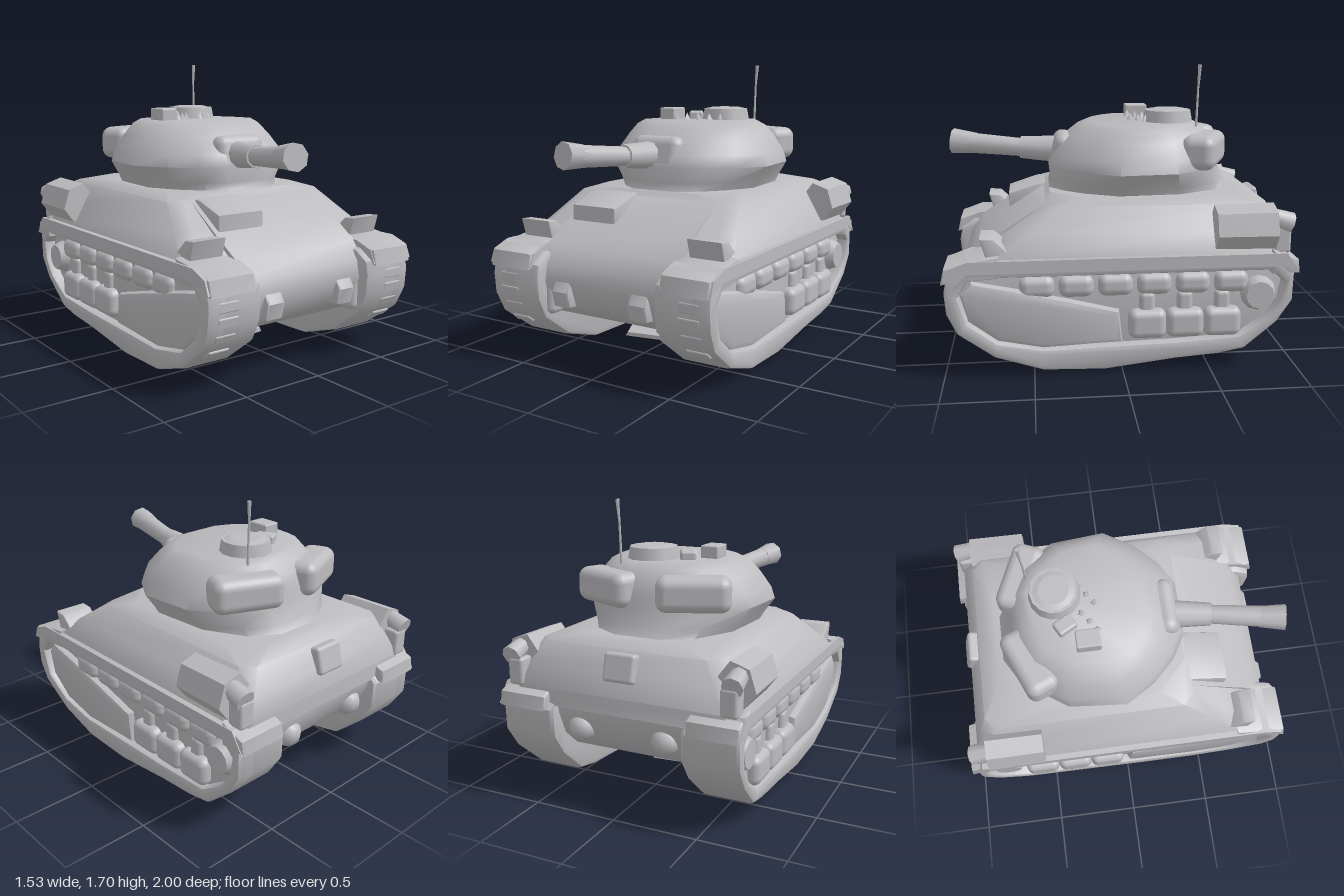
import * as THREE from 'three';
import { toCreasedNormals } from 'three/addons/utils/BufferGeometryUtils.js';
import { RoundedBoxGeometry } from 'three/addons/geometries/RoundedBoxGeometry.js';
import { ConvexGeometry } from 'three/addons/geometries/ConvexGeometry.js';

const V = (x, y, z) => new THREE.Vector3(x, y, z);

// Closed skin over rings of [x, y, z], listed from bottom to top
function loft(rings) {
  const n = rings[0].length, pos = rings.flat(2), idx = [];
  for (let i = 0; i < rings.length - 1; i++) for (let j = 0; j < n; j++) {
    const a = i * n + j, b = i * n + (j + 1) % n;
    idx.push(a, a + n, b, b, a + n, b + n);
  }
  const top = (rings.length - 1) * n;
  for (let j = 1; j < n - 1; j++) idx.push(0, j, j + 1, top, top + j + 1, top + j);
  const g = new THREE.BufferGeometry();
  g.setAttribute('position', new THREE.Float32BufferAttribute(pos, 3));
  g.setIndex(idx);
  return toCreasedNormals(g, 0.85);
}

// Side profile of [z, y] points extruded from x0 to x1
function slab(pts, x0, x1, hole, bevel = 0) {
  const shape = new THREE.Shape(pts.map(p => new THREE.Vector2(...p)));
  if (hole) shape.holes.push(new THREE.Path(hole.map(p => new THREE.Vector2(...p))));
  const g = new THREE.ExtrudeGeometry(shape, {
    depth: x1 - x0 - 2 * bevel, bevelEnabled: bevel > 0, bevelSize: bevel,
    bevelThickness: bevel, bevelOffset: -bevel, bevelSegments: 2,
  });
  g.rotateY(-Math.PI / 2).translate(x1 - bevel, 0, 0);
  return toCreasedNormals(g, 0.7);
}

export function createModel() {
  const root = new THREE.Group();
  root.name = 'tank';
  const grey = new THREE.MeshStandardMaterial({ color: 0xbcbcbf });
  grey.name = 'plain grey';

  const add = (name, geo, x = 0, y = 0, z = 0, rx = 0, ry = 0, rz = 0) => {
    const m = new THREE.Mesh(geo, grey);
    m.name = name;
    m.position.set(x, y, z);
    m.rotation.set(rx, ry, rz);
    root.add(m);
    return m;
  };
  const box = (w, h, d, r = 0.02) => new RoundedBoxGeometry(w, h, d, 3, r);
  const rod = (name, a, b, ra, rb, sides = 10) => {
    const d = b.clone().sub(a), m = add(name, new THREE.CylinderGeometry(rb, ra, d.length(), sides));
    m.position.copy(a).addScaledVector(d, 0.5);
    m.quaternion.setFromUnitVectors(V(0, 1, 0), d.normalize());
  };

  // Lower hull with rounded nose and tail
  add('lowerHull', slab([[0.42, 0.95], [0.64, 0.81], [0.82, 0.7], [0.9, 0.6], [0.92, 0.5], [0.88, 0.38],
    [0.8, 0.3], [0.7, 0.28], [-0.6, 0.28], [-0.75, 0.32], [-0.86, 0.42], [-0.92, 0.56], [-0.93, 0.72], [-0.85, 0.94]], -0.44, 0.44));

  // Upper hull: chamfered rectangles tapering to the turret ring
  const hullRing = (y, w, zf, zr, c = 0.07) => [[w - c, y, zr], [w, y, zr + c], [w, y, zf - c], [w - c, y, zf],
    [c - w, y, zf], [-w, y, zf - c], [-w, y, zr + c], [c - w, y, zr]];
  add('upperHull', loft([hullRing(0.6, 0.7, 0.82, -0.94), hullRing(0.7, 0.7, 0.77, -0.94),
    hullRing(0.82, 0.63, 0.6, -0.91), hullRing(0.95, 0.555, 0.42, -0.85), hullRing(0.985, 0.46, 0.39, -0.74, 0.18)]));

  // Front and rear hull details
  add('driverHood', slab([[0.36, 0.97], [0.46, 0.96], [0.64, 0.9], [0.64, 0.77], [0.4, 0.8]], -0.41, -0.1, null, 0.015));
  add('rearHatch', box(0.19, 0.16, 0.09), -0.01, 0.86, -0.89, 0.25);

  // Tracks, fenders and the parts repeated on both sides
  const outer = [[0.985, 0.52], [0.97, 0.6], [0.88, 0.66], [-0.9, 0.66], [-0.97, 0.58], [-0.965, 0.42], [-0.88, 0.29],
    [-0.7, 0.13], [-0.55, 0.1], [-0.3, 0.08], [0.1, 0.03], [0.45, 0.04], [0.72, 0.13], [0.92, 0.28], [0.975, 0.4]];
  const inner = [[0.91, 0.5], [0.84, 0.6], [-0.84, 0.6], [-0.91, 0.53], [-0.89, 0.42], [-0.82, 0.32],
    [-0.66, 0.21], [-0.3, 0.19], [0.1, 0.18], [0.45, 0.17], [0.7, 0.22], [0.86, 0.34]];
  for (const s of [1, -1]) {
    const span = (a, b) => s > 0 ? [a, b] : [-b, -a];
    add('trackCore', slab(outer, ...span(0.385, 0.655), null, 0.03));
    // Rim leans inward toward the ground
    const rim = slab(outer, ...span(0.6, 0.73), inner, 0.025), p = rim.attributes.position;
    for (let i = 0; i < p.count; i++)
      p.setX(i, p.getX(i) - s * 0.1 * Math.max(0, 0.35 - p.getY(i)));
    add('trackRim', rim);
    add('trackFrontPanel', slab([[0.9, 0.5], [0.84, 0.57], [0.6, 0.52], [0.3, 0.45], [0.02, 0.38], [0, 0.19],
      [0.45, 0.17], [0.7, 0.22], [0.86, 0.34]], ...span(0.6, 0.7), null, 0.035));
    add('rearWheel', new THREE.CylinderGeometry(0.08, 0.12, 0.09, 12), s * 0.665, 0.45, -0.78, 0, 0, -s * Math.PI / 2);
    // Bogies along the lower run, return rollers along the top
    for (let i = 0; i < 3; i++) {
      add('bogie', box(0.14, 0.17, 0.215, 0.045), s * 0.65, 0.295, -0.14 - i * 0.215);
      add('bogieArm', box(0.1, 0.14, 0.09, 0.03), s * 0.635, 0.41, -0.14 - i * 0.215);
    }
    for (let i = 0; i < 6; i++)
      add('returnRoller', box(0.11, 0.13, 0.2, 0.05), s * 0.64, 0.525, 0.48 - i * 0.22);
    // Tread links on the nose
    for (const [y, z, a] of [[0.25, 0.87, 0.85], [0.34, 0.93, 0.5], [0.43, 0.96, 0.2], [0.51, 0.965, 0]])
      add('treadLink', box(0.13, 0.06, 0.04, 0.01), s * 0.6, y, z, a);

    // Fender with flared edge, front and rear mudguards
    add('fender', slab([[0.99, 0.585], [0.96, 0.66], [0.85, 0.7], [-0.92, 0.7], [-0.995, 0.585], [-0.9, 0.635],
      [0.85, 0.635]], ...span(0.43, 0.735)));
    add('mudguard', slab([[1, 0.57], [0.98, 0.66], [0.84, 0.7], [0.68, 0.72], [0.68, 0.6]], ...span(0.435, 0.725), null, 0.015));
    add('rearMudguard', slab([[-0.84, 0.72], [-0.99, 0.66], [-1, 0.58], [-0.84, 0.58]], ...span(0.43, 0.73), null, 0.015));
    // Wedge-shaped lamp guard
    add('lampGuard', slab([[0.785, 0.815], [0.75, 0.69], [0.56, 0.68], [0.64, 0.745], [0.71, 0.81]],
      ...span(0.47, 0.68), null, 0.008));
    // Faceted stowage roll at the rear corner
    const roll = new THREE.CylinderGeometry(0.125, 0.13, 0.34, 6);
    roll.scale(0.8, 1, 1);
    add('stowageRoll', toCreasedNormals(roll, 0.4), s * 0.66, 0.845, -0.69, Math.PI / 2, s * 0.3, 0);
    add('rearLamp', new THREE.CylinderGeometry(0.05, 0.06, 0.13, 8), s * 0.67, 0.88, -0.89, 1.25);
    add('rearLampBracket', box(0.1, 0.16, 0.1), s * 0.65, 0.77, -0.9);
    // Lugs at the lower front and exhausts behind
    add('towLug', slab([[0.95, 0.46], [0.93, 0.37], [0.84, 0.36], [0.84, 0.51], [0.92, 0.51]], ...span(0.2, 0.32), null, 0.015));
    add('noseBracket', box(0.1, 0.26, 0.12, 0.04), s * 0.39, 0.43, 0.85);
    add('exhaust', new THREE.SphereGeometry(0.08, 10, 8), s * 0.26, 0.48, -0.87);
  }

  // Loose tilted plate below the belly
  const plate = [[-0.28, 0.02, 0.3], [0.2, 0.04, 0.27], [0.26, 0.07, 0.02], [0.07, 0.14, -0.4], [-0.32, 0.1, -0.28], [-0.36, 0.08, 0.05]];
  add('bellyPlate', toCreasedNormals(new ConvexGeometry(plate.flatMap(([x, y, z]) => [V(x, y, z), V(x * 0.95, y + 0.025, z)])), 0.5));

  // Turret: one plan outline scaled per level, front and rear separately
  const half = [[0.17, -0.65], [0.37, -0.56], [0.52, -0.34], [0.55, 0], [0.44, 0.18], [0.31, 0.31], [0.17, 0.39]];
  const plan = [...half, ...half.map(([x, z]) => [-x, z]).reverse()];
  const level = (y, w, f, r) => plan.map(([x, z]) => [x * w, y, -0.12 + (z + 0.12) * (z > -0.12 ? f : r)]);
  add('turret', loft([level(0.94, 0.95, 1.06, 1.16), level(0.985, 0.83, 1, 1.1), level(1.03, 0.88, 0.98, 1.05),
    level(1.12, 1, 1, 0.97), level(1.19, 0.96, 0.95, 0.95), level(1.28, 0.85, 0.78, 0.9),
    level(1.345, 0.75, 0.62, 0.8), level(1.372, 0.66, 0.5, 0.7)]));
  // Rounded packs wrapped around the turret rear
  for (const s of [1, -1])
    add('turretPack', box(0.42, 0.2, 0.2, 0.06), s * 0.265, 1.22, -0.53, 0, s * -0.4);

  // Gun, swung slightly to one side
  add('mantlet', box(0.34, 0.22, 0.2, 0.06), -0.02, 1.18, 0.27, -0.25);
  rod('gunSleeve', V(-0.05, 1.185, 0.3), V(-0.088, 1.195, 0.56), 0.085, 0.068);
  rod('barrel', V(-0.085, 1.194, 0.54), V(-0.16, 1.22, 0.9), 0.056, 0.064);
  rod('muzzle', V(-0.15, 1.217, 0.84), V(-0.177, 1.23, 0.985), 0.064, 0.078, 8);

  // Roof: cupola, hatch, torn fittings and antenna
  add('cupola', new THREE.CylinderGeometry(0.14, 0.155, 0.08, 14), 0.08, 1.4, -0.34);
  add('cupolaLid', new THREE.CylinderGeometry(0.09, 0.135, 0.012, 14), 0.08, 1.443, -0.34);
  add('periscope', box(0.11, 0.09, 0.14, 0.01), -0.23, 1.4, -0.18);
  add('roofBracket', box(0.09, 0.06, 0.12, 0.015), -0.12, 1.39, -0.3, 0, 0.5);
  for (let i = 0; i < 6; i++)
    add('roofTooth', new THREE.ConeGeometry(0.03, 0.06, 4), -0.16 + i * 0.055, 1.385, -0.12 - (i % 3) * 0.04, 0, i);
  rod('antenna', V(0.21, 1.3, -0.49), V(0.215, 1.62, -0.5), 0.008, 0.006, 6);
  rod('antennaTip', V(0.214, 1.58, -0.5), V(0.222, 1.715, -0.505), 0.006, 0.012, 5);
  return root;
}
